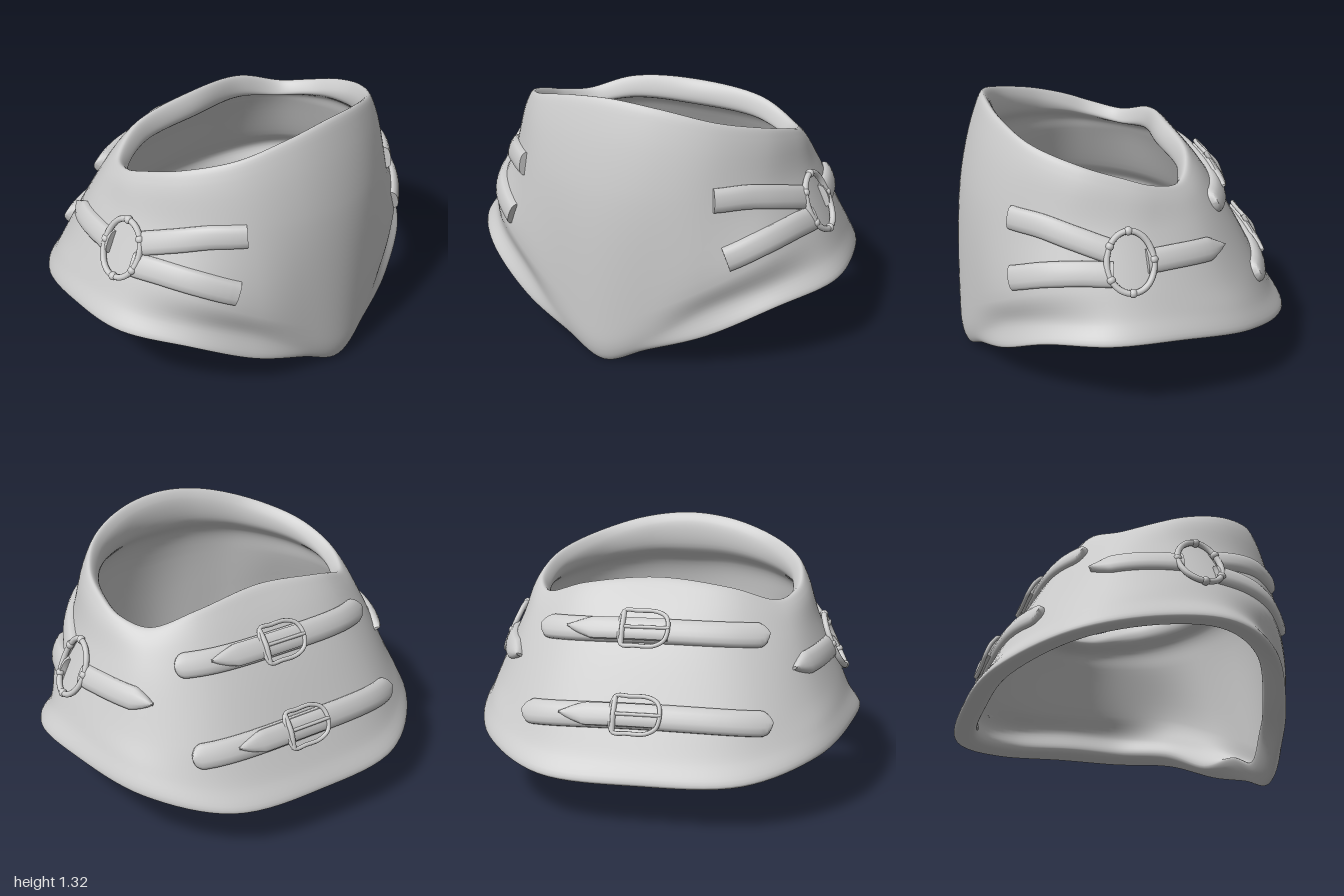
import * as THREE from 'three';
import { toCreasedNormals } from 'three/addons/utils/BufferGeometryUtils.js';

const V = (x, y, z) => new THREE.Vector3(x, y, z);
const material = new THREE.MeshStandardMaterial({ color: 0xcccccc, roughness: 0.7 });

// Contours of half the collar, from centre front round +x to centre back
const BOTTOM = [[0, -.002, .8], [.22, .085, .765], [.5, .188, .685], [.8, .34, .52], [.98, .385, .25],
  [.97, .375, -.08], [.83, .31, -.48], [.5, .235, -.76], [0, .225, -.82]];
const TUCK = [[0, .08, .82], [.24, .18, .775], [.5, .33, .66], [.765, .45, .485], [.92, .5, .245],
  [.925, .5, -.06], [.81, .44, -.43], [.5, .36, -.69], [0, .35, -.76]];
const CREASE = [[0, .22, .825], [.24, .32, .785], [.485, .45, .7], [.74, .59, .52], [.865, .63, .25],
  [.88, .62, -.02], [.775, .57, -.36], [.5, .53, -.6], [0, .5, -.68]];
const MIDDLE = [[0, .85, .795], [.25, .87, .755], [.48, .88, .645], [.675, .88, .44], [.765, .88, .2],
  [.77, .87, 0], [.68, .85, -.26], [.43, .84, -.44], [0, .84, -.495]];
const TOP = [[0, 1.32, .66], [.24, 1.295, .63], [.47, 1.23, .52], [.63, 1.16, .31], [.675, 1.1, .12],
  [.665, 1.05, -.02], [.58, 1.02, -.17], [.37, 1.09, -.265], [0, 1.13, -.26]];

// Skin over rings of points; either closed round or capped at both ends
function loft(rings, closed) {
  const m = rings.length, n = rings[0].length, pos = [], index = [];
  rings.forEach(r => r.forEach(p => pos.push(p.x, p.y, p.z)));
  for (let i = 0; i < (closed ? m : m - 1); i++) {
    for (let j = 0; j < n; j++) {
      const k = (j + 1) % n, a = i * n, b = ((i + 1) % m) * n;
      index.push(a + j, b + j, a + k, b + j, b + k, a + k);
    }
  }
  if (!closed) {
    const last = (m - 1) * n;
    for (let j = 1; j < n - 1; j++) index.push(0, j, j + 1, last, last + j + 1, last + j);
  }
  const g = new THREE.BufferGeometry();
  g.setAttribute('position', new THREE.Float32BufferAttribute(pos, 3));
  g.setIndex(index);
  g.computeVertexNormals();
  return g;
}

// Move a point outward from the vertical axis, and up
function shift(p, out, up) {
  const d = V(p.x, 0, p.z - 0.1).normalize();
  return p.clone().addScaledVector(d, out).add(V(0, up, 0));
}

function collarGeometry() {
  const profiles = TOP.map((_, i) => {
    const [b, t, c, m, top] = [BOTTOM, TUCK, CREASE, MIDDLE, TOP].map(r => V(...r[i]));
    // Underside of the bottom rim, sloping up more steeply at the front point
    const [rim, rise] = i < 2 ? [0.1, 0.1] : [0.12, 0.025];
    const loop = [
      shift(b, 0, 0.02), t, c, m, shift(top.clone().lerp(m, 0.22), 0.02, 0), top,
      // Padded lip, then the wall set back behind it
      shift(top, -0.04, -0.05), shift(top, -0.04, 0.4 * (m.y - top.y)),
      shift(top.clone().lerp(m, 0.62), -0.04, 0), shift(m, -0.05, 0), shift(c, -0.055, 0), shift(t, -0.05, 0.02),
      shift(b, -rim, rise + 0.02), shift(b, -0.85 * rim, rise * 0.75), shift(b, -0.02, 0.003)];
    return new THREE.CatmullRomCurve3(loop, true).getPoints(90).slice(0, -1);
  });
  const mirrored = profiles.slice(1, -1).reverse().map(r => r.map(p => V(-p.x, p.y, p.z)));
  const all = [...profiles, ...mirrored];
  const rings = Array.from({ length: 128 }, () => []);
  for (let j = 0; j < 90; j++) {
    const pts = new THREE.CatmullRomCurve3(all.map(r => r[j]), true).getPoints(128);
    rings.forEach((r, i) => r.push(pts[i]));
  }
  return loft(rings, true);
}

export function createModel() {
  const group = new THREE.Group();
  const add = (name, geometry, parent = group) => {
    const mesh = new THREE.Mesh(geometry, material);
    mesh.name = name;
    parent.add(mesh);
    return mesh;
  };
  const collar = add('collar', collarGeometry());

  // Nearest outer surface point and normal, looking toward the vertical axis
  const ray = new THREE.Raycaster();
  function project(p, lift = 0) {
    const d = V(p.x, 0, p.z - 0.1).normalize();
    ray.set(V(0, p.y, 0.1).addScaledVector(d, 3), d.clone().negate());
    const hit = ray.intersectObject(collar)[0];
    const normal = hit.normal.clone().normalize();
    return { point: hit.point.clone().addScaledVector(normal, lift), normal };
  }

  // Domed leather strap that follows the collar; start and end = length of each narrowed end
  const SECTION = [[-1, -1], [-1, .35], [-.8, .8], [-.4, 1], [0, 1.05], [.4, 1], [.8, .8], [1, .35], [1, -1]];
  function strap(name, points, width, { thick = 0.03, lift = 0, start = 0, end = 0, round = true } = {}) {
    const curve = new THREE.CatmullRomCurve3(points.map(p => V(...p)));
    const N = 40, length = curve.getLength();
    // Samples crowd toward the ends so that these are drawn cleanly
    const us = Array.from({ length: N + 1 }, (_, i) => (1 - Math.cos(i / N * Math.PI)) / 2);
    const hits = us.map(u => project(curve.getPointAt(u), lift));
    const narrow = (d, size) => {
      if (!size || d >= size) return 1;
      const f = d / size;
      return Math.max(0.12, round ? Math.sqrt(1 - (1 - f) ** 2) : f ** 0.7);
    };
    const rings = hits.map(({ point, normal }, i) => {
      const tangent = hits[Math.min(N, i + 1)].point.clone().sub(hits[Math.max(0, i - 1)].point).normalize();
      const side = normal.clone().cross(tangent).normalize();
      const d = us[i] * length;
      const w = width / 2 * narrow(d, start) * narrow(length - d, end);
      return SECTION.map(([s, h]) => point.clone().addScaledVector(side, s * w).addScaledVector(normal, h * thick));
    });
    add(name, toCreasedNormals(loft(rings, false), 0.8));
  }

  // Side harness: ring, two front straps and one pointed rear strap
  for (const s of [1, -1]) {
    const side = s > 0 ? 'left' : 'right';
    const flip = pts => pts.map(([x, y, z]) => [x * s, y, z]);
    strap(side + 'UpperFrontStrap', flip([[.5, .89, .62], [.62, .885, .5], [.72, .85, .37], [.8, .8, .22]]), 0.115);
    strap(side + 'LowerFrontStrap', flip([[.58, .61, .64], [.7, .675, .5], [.79, .7, .36], [.85, .7, .21]]), 0.12);
    strap(side + 'RearStrap', flip([[.83, .745, .05], [.8, .745, -.1], [.74, .735, -.25], [.69, .72, -.36]]), 0.115,
      { end: 0.1, round: false });

    const onRing = a => project(V(.83 * s, .75 + .132 * Math.sin(a), .13 + .108 * Math.cos(a)), 0.022).point;
    const path = Array.from({ length: 28 }, (_, i) => onRing(i / 28 * Math.PI * 2));
    add(side + 'Ring', new THREE.TubeGeometry(new THREE.CatmullRomCurve3(path, true), 72, 0.015, 10, true));
    for (const a of [0.55, 1.57, 3.14, 4.71, 5.7]) {
      add(side + 'RingKnob', new THREE.SphereGeometry(0.021, 14, 10)).position.copy(onRing(a));
    }
  }

  // Two back straps with overlapping tongue and buckle
  const backs = [
    { name: 'upperBack', y: .9, z: -.45, endX: .56, endZ: -.35, drop: .02 },
    { name: 'lowerBack', y: .53, z: -.66, endX: .61, endZ: -.57, drop: .03 },
  ];
  for (const { name, y, z, endX, endZ, drop } of backs) {
    const at = x => [x, y - drop * (x / endX) ** 2, z + (endZ - z) * (x / endX) ** 2];
    strap(name + 'Strap', [-1, -.5, 0, .5, 1].map(f => at(f * endX)), 0.125,
      { thick: 0.035, start: 0.06, end: 0.06 });
    strap(name + 'Tongue', [-.09, .05, .2, .39].map(at), 0.11,
      { thick: 0.022, lift: 0.03, end: 0.12, round: false });

    // Buckle in its own frame: x along the strap, y across it, z off the surface
    const { point, normal } = project(V(...at(0.02)));
    const buckle = new THREE.Group();
    buckle.name = name + 'Buckle';
    const right = V(0, 1, 0).cross(normal).normalize();
    buckle.matrix.makeBasis(right, normal.clone().cross(right), normal).setPosition(point);
    buckle.matrix.decompose(buckle.position, buckle.quaternion, buckle.scale);
    group.add(buckle);
    // Local x runs toward -x on the back, so the rounded end is at positive x
    const frame = [[-.11, .085], [-.04, .09], [.05, .088], [.1, .06], [.115, 0]];
    const loop = [...frame, ...frame.slice(0, -1).reverse().map(([a, b]) => [a, -b])]
      .map(([a, b]) => V(a, b, 0.054 - 2 * b * b));
    add('buckleFrame', new THREE.TubeGeometry(new THREE.CatmullRomCurve3(loop, true), 64, 0.011, 8, true), buckle);
    const prong = new THREE.CatmullRomCurve3([V(-.11, 0, .054), V(0, 0, .056), V(.12, 0, .058)]);
    add('bucklePin', new THREE.TubeGeometry(prong, 12, 0.009, 8), buckle);
    const bar = new THREE.CatmullRomCurve3([V(-.11, -.088, .038), V(-.11, 0, .054), V(-.11, .088, .038)]);
    add('buckleBar', new THREE.TubeGeometry(bar, 12, 0.013, 8), buckle);
  }
  return group;
}
